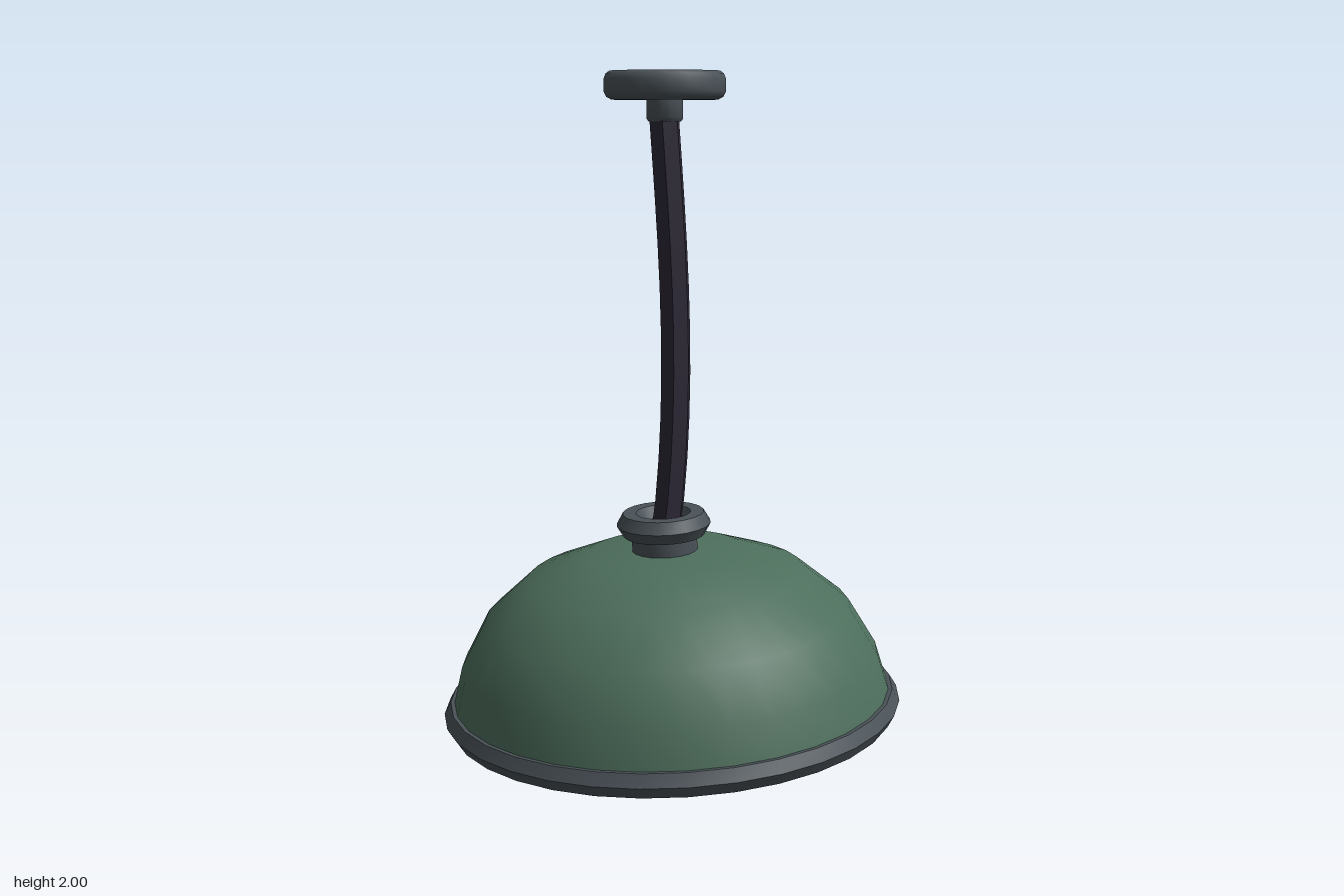
import * as THREE from 'three';
import { toCreasedNormals } from 'three/addons/utils/BufferGeometryUtils.js';

const material = (color, side = THREE.FrontSide) => new THREE.MeshStandardMaterial({ color, side });
const metal = material(0x4a5258);
const green = material(0x4d6e5c);
const cream = material(0xe0d2b2);
const rubber = material(0x2c2836);

function part(parent, name, geometry, mat) {
  const mesh = new THREE.Mesh(geometry, mat);
  mesh.name = name;
  parent.add(mesh);
  return mesh;
}

// Surface of revolution from [radius, y] pairs, sharp only at strong bends
function lathe(pairs, sides, crease = 0.7) {
  const points = pairs.map(([r, y]) => new THREE.Vector2(r, y));
  return toCreasedNormals(new THREE.LatheGeometry(points, sides), crease);
}

// Horizontal ring with a hexagonal section
function ring(radius, tube, y, sides) {
  const g = new THREE.TorusGeometry(radius, tube, 6, sides);
  g.rotateX(Math.PI / 2).translate(0, y, 0);
  return toCreasedNormals(g, 0.8);
}

export function createModel() {
  const lamp = new THREE.Group();
  lamp.name = 'pendantLamp';

  // Ceiling mount
  const mount = new THREE.Group();
  mount.name = 'ceilingMount';
  mount.position.set(-0.015, 0, 0.035);
  lamp.add(mount);
  part(mount, 'ceilingPlate', lathe([
    [0, 1.92], [0.15, 1.92], [0.165, 1.928], [0.172, 1.943],
    [0.172, 1.977], [0.166, 1.992], [0.155, 2], [0, 2],
  ], 24), metal);
  part(mount, 'cordGrip', lathe([[0, 1.86], [0.046, 1.86], [0.052, 1.868], [0.052, 1.925]], 16), metal);

  // Hexagonal cord, gently bowed
  const low = 0.66, high = 1.88;
  const cord = new THREE.CylinderGeometry(0.045, 0.045, high - low, 6, 10);
  cord.translate(0, (low + high) / 2, 0);
  const p = cord.attributes.position;
  for (let i = 0; i < p.count; i++) {
    const t = Math.min(1, Math.max(0, (p.getY(i) - low) / (high - low)));
    const bow = Math.sin(Math.PI * Math.pow(t, 0.8));
    p.setX(i, p.getX(i) - 0.017 + 0.032 * bow);
    p.setZ(i, p.getZ(i) + 0.038 - 0.014 * bow);
  }
  part(lamp, 'cord', toCreasedNormals(cord, 0.6), rubber);

  // Shade assembly, tilted about the centre of its rim
  const rimY = 0.18;
  const head = new THREE.Group();
  head.name = 'shadeAssembly';
  head.position.y = rimY;
  head.rotation.set(0.078, 0, 0.033);
  lamp.add(head);

  const outer = [[0.64, 0.01], [0.605, 0.14], [0.53, 0.275], [0.4, 0.388], [0.23, 0.453], [0.06, 0.462]];
  part(head, 'shadeOuter', lathe(outer, 32, 1.2), green);
  const inner = outer.map(([r, y]) => [r - 0.016, y - 0.016]).reverse();
  part(head, 'shadeInner', lathe(inner, 32, 1.2), cream);
  part(head, 'shadeRim', ring(0.625, 0.04, 0, 32), metal);

  // Neck and collar above the shade, lamp holder below it
  part(head, 'neck', lathe([[0.095, 0.44], [0.095, 0.515], [0, 0.515]], 20), metal);
  part(head, 'collar', ring(0.098, 0.038, 0.538, 20), metal);
  part(head, 'socket', lathe([
    [0, 0.165], [0.07, 0.165], [0.08, 0.175], [0.08, 0.46],
  ], 20), metal);

  // Bulb
  const bulb = new THREE.SphereGeometry(0.163, 24, 16);
  bulb.scale(1, 1.2, 1);
  part(head, 'bulb', bulb, cream).position.y = 0.0165;

  return lamp;
}
